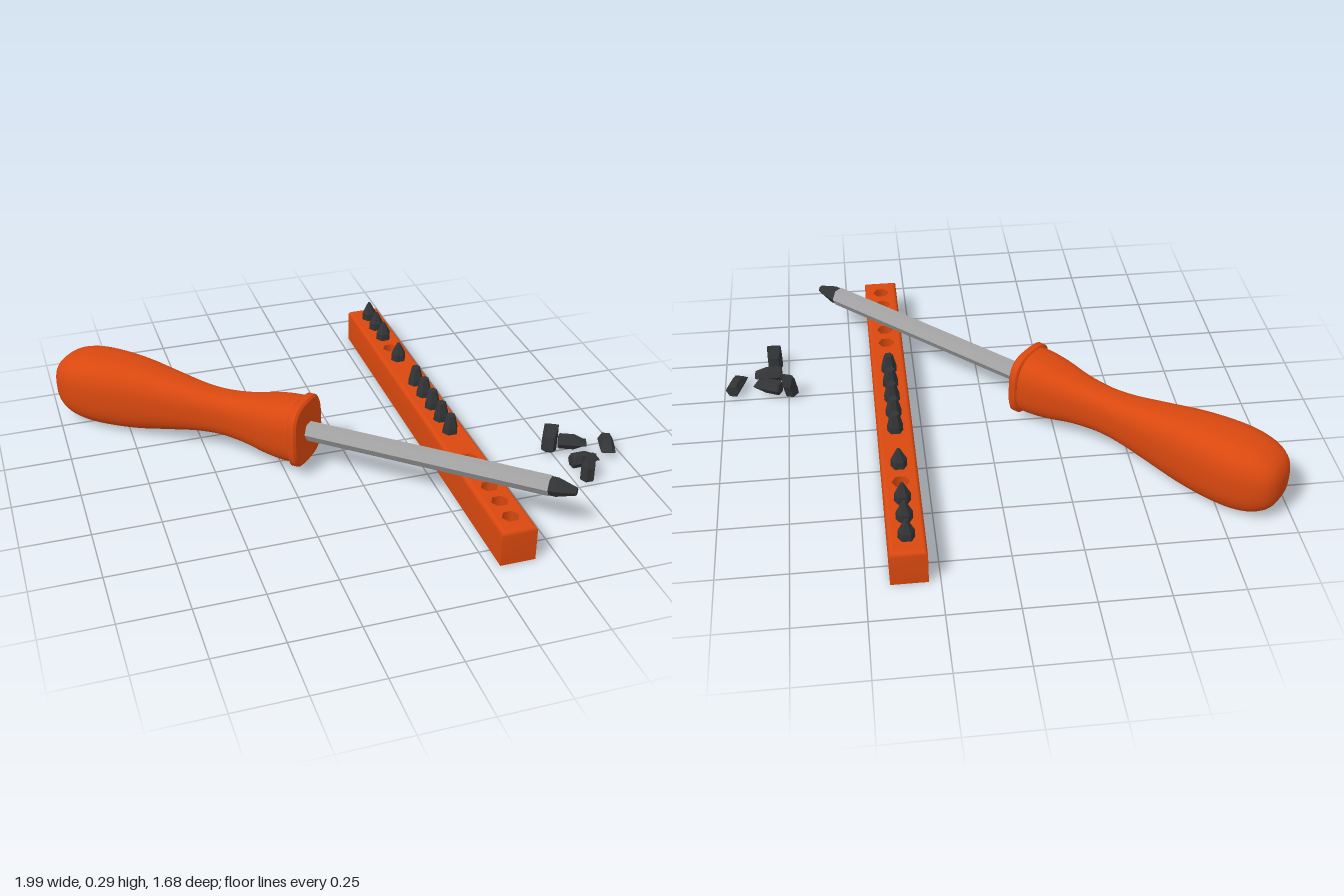
import * as THREE from 'three';
import { toCreasedNormals } from 'three/addons/utils/BufferGeometryUtils.js';

const orange = new THREE.MeshStandardMaterial({ color: 0xd9480f });
const orangeInside = new THREE.MeshStandardMaterial({ color: 0xd9480f, side: THREE.BackSide });
const steel = new THREE.MeshStandardMaterial({ color: 0xa4a4a4 });
const dark = new THREE.MeshStandardMaterial({ color: 0x323436 });

function add(parent, name, geometry, material) {
  const mesh = new THREE.Mesh(geometry, material);
  mesh.name = name;
  parent.add(mesh);
  return mesh;
}

// Skin a list of rings (arrays of [x, y, z], counter-clockwise seen from +z, z rising)
function loft(rings, crease = 0.3, capEnd = true) {
  const n = rings[0].length, last = rings.length - 1, index = [];
  const points = rings.flat();
  for (let r = 0; r < last; r++) {
    for (let i = 0; i < n; i++) {
      const a = r * n + i, b = r * n + (i + 1) % n;
      index.push(a, b, b + n, a, b + n, a + n);
    }
  }
  for (let i = 1; i < n - 1; i++) {
    index.push(0, i + 1, i);
    if (capEnd) index.push(last * n, last * n + i, last * n + i + 1);
  }
  const g = new THREE.BufferGeometry();
  g.setAttribute('position', new THREE.Float32BufferAttribute(points.flat(), 3));
  g.setIndex(index);
  return toCreasedNormals(g, crease);
}

// Superellipse ring: power 2 is an ellipse, higher is boxier
function ring(z, rx, ry, sides, power = 2) {
  return Array.from({ length: sides }, (_, i) => {
    const a = (i / sides) * Math.PI * 2, c = Math.cos(a), s = Math.sin(a);
    const bend = v => Math.sign(v) * Math.pow(Math.abs(v), 2 / power);
    return [rx * bend(c), ry * bend(s), z];
  });
}

// Hexagonal bit along +z: shank, shoulder, then a tip of the given half sizes
function bitGeometry(shank, length, tipX, tipY, r = 0.029) {
  return loft([
    ring(0, r * 0.85, r * 0.85, 6), ring(0.006, r, r, 6),
    ring(shank, r, r, 6), ring(length, tipX, tipY, 6),
  ], 0.1);
}

function makeDriver() {
  const driver = new THREE.Group();
  driver.name = 'screwdriver';

  // Handle: swelling grip, waist and flare, as [z, half width, half height]
  const grip = [
    [-1.083, 0.004, 0.004], [-1.078, 0.045, 0.05], [-1.058, 0.082, 0.09], [-1.015, 0.11, 0.119],
    [-0.95, 0.126, 0.136], [-0.86, 0.129, 0.141], [-0.72, 0.114, 0.134], [-0.58, 0.092, 0.112],
    [-0.45, 0.074, 0.091], [-0.36, 0.068, 0.086], [-0.25, 0.078, 0.094], [-0.15, 0.097, 0.113],
    [-0.08, 0.105, 0.121], [-0.036, 0.107, 0.122],
  ].map(p => new THREE.Vector3(...p));
  const rings = new THREE.CatmullRomCurve3(grip).getPoints(52)
    .map(p => ring(p.x, p.y, p.z, 48, 2.7));
  add(driver, 'handle', loft(rings, 0.7), orange);
  const flange = [[-0.036, 0.108, 0.12], [-0.031, 0.115, 0.127], [-0.008, 0.115, 0.127], [0, 0.107, 0.119]];
  add(driver, 'handleFlange', loft(flange.map(([z, x, y]) => ring(z, x, y, 48, 3.2)), 0.5), orange);

  // Hexagonal shaft with a bit in its end
  add(driver, 'shaft', loft([ring(-0.02, 0.037, 0.037, 6), ring(0.925, 0.037, 0.037, 6)]), steel);
  const bit = add(driver, 'driverBit', bitGeometry(0.06, 0.13, 0.014, 0.014, 0.034), dark);
  bit.position.z = 0.89;

  driver.position.set(-0.155, 0.158, 0.068);
  driver.lookAt(-0.155 + 0.743, 0.158 + 0.02, 0.068 + 0.669);
  return driver;
}

function makeRack() {
  const rack = new THREE.Group();
  rack.name = 'bitRack';
  rack.position.x = 0.355;
  const hx = 0.0645, hz = 0.8425, height = 0.135, inset = 0.015, depth = 0.08, holeR = 0.032;
  const rect = (i, z) => [[hx - i, i - hz, z], [hx - i, hz - i, z], [i - hx, hz - i, z], [i - hx, i - hz, z]];

  // Block with rounded upper edges
  const levels = [rect(0, 0)];
  for (let k = 0; k <= 4; k++) {
    const a = (k / 4) * Math.PI / 2;
    levels.push(rect(inset * (1 - Math.cos(a)), height - inset * (1 - Math.sin(a))));
  }
  add(rack, 'rackBody', loft(levels, 0.5, false).rotateX(-Math.PI / 2), orange);

  // Top face pierced by three groups of five holes
  const holes = [];
  for (const start of [-0.758, -0.18, 0.385]) {
    for (let i = 0; i < 5; i++) holes.push(start + i * 0.0935);
  }
  const top = new THREE.Shape(rect(inset, 0).map(([x, y]) => new THREE.Vector2(x, y)));
  for (const z of holes) {
    top.holes.push(new THREE.Path(ring(0, holeR, holeR, 6).map(([x, y]) => new THREE.Vector2(x, y - z)).reverse()));
  }
  const topFace = add(rack, 'rackTop', new THREE.ShapeGeometry(top).rotateX(-Math.PI / 2), orange);
  topFace.position.y = height;

  const wall = new THREE.CylinderGeometry(holeR, holeR, depth, 6, 1, true).rotateY(Math.PI / 6);
  const floor = new THREE.CircleGeometry(holeR, 6).rotateX(-Math.PI / 2);
  const pointed = bitGeometry(0.105, 0.15, 0.006, 0.006).rotateX(-Math.PI / 2);
  const blunt = bitGeometry(0.1, 0.15, 0.017, 0.017).rotateX(-Math.PI / 2);
  holes.forEach((z, i) => {
    add(rack, 'holeWall', wall, orangeInside).position.set(0, height - depth / 2, z);
    add(rack, 'holeFloor', floor, orange).position.set(0, height - depth, z);
    // One hole of the first group and all of the last stay empty
    if (i < 10 && i !== 3) {
      add(rack, i < 5 ? 'pointedBit' : 'bluntBit', i < 5 ? pointed : blunt, dark)
        .position.set(0, height - depth + 0.002, z);
    }
  });
  return rack;
}

// Loose flat-tipped bits: base position, direction, direction of the blade's width
function makeLooseBits() {
  const group = new THREE.Group();
  group.name = 'looseBits';
  const geometry = bitGeometry(0.06, 0.106, 0.027, 0.003);
  const placements = [
    [[0.736, 0.014, 0.258], [0.15, 0.95, -0.2], [1, 0, 0.4]],
    [[0.778, 0.045, 0.25], [0.9, 0, 0.42], [-0.42, 0, 0.9]],
    [[0.968, 0.032, 0.265], [-0.32, 0, 0.94], [0.94, 0, 0.32]],
    [[0.775, 0.03, 0.372], [1, 0, 0], [0, 0, 1]],
    [[0.802, 0, 0.457], [0, 1, 0], [1, 0, 0]],
  ];
  for (const [base, direction, width] of placements) {
    const z = new THREE.Vector3(...direction).normalize();
    const y = z.clone().cross(new THREE.Vector3(...width)).normalize();
    const x = y.clone().cross(z);
    const bit = add(group, 'looseBit', geometry, dark);
    bit.quaternion.setFromRotationMatrix(new THREE.Matrix4().makeBasis(x, y, z));
    bit.position.set(...base);
  }
  return group;
}

export function createModel() {
  const model = new THREE.Group();
  model.name = 'screwdriverSet';
  model.add(makeDriver(), makeRack(), makeLooseBits());
  return model;
}
